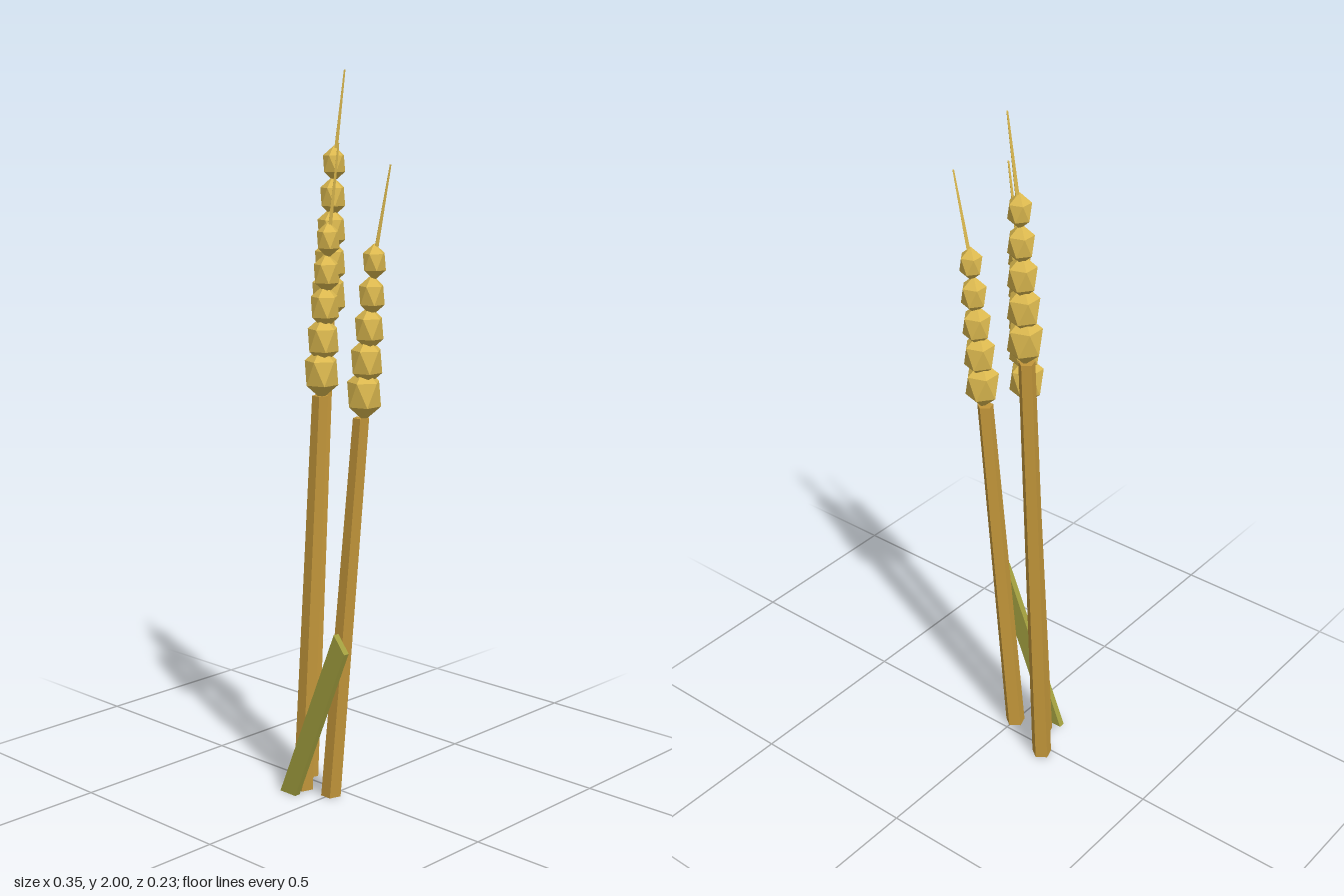
import * as THREE from 'three';

const material = (name, color) => {
  const m = new THREE.MeshStandardMaterial({ color, flatShading: true });
  m.name = name;
  return m;
};

// Tapered prism between two points, sheared so both ends stay level
function leaningPrism(from, to, rBottom, rTop, sides) {
  const [x0, y0, z0] = from, [x1, y1, z1] = to;
  const geo = new THREE.CylinderGeometry(rTop, rBottom, y1 - y0, sides, 1, false, Math.PI);
  geo.translate(0, (y1 - y0) / 2, 0);
  const p = geo.attributes.position;
  for (let i = 0; i < p.count; i++) {
    const t = p.getY(i) / (y1 - y0);
    p.setXYZ(i, p.getX(i) + x0 + (x1 - x0) * t, p.getY(i) + y0, p.getZ(i) + z0 + (z1 - z0) * t);
  }
  geo.computeVertexNormals();
  return geo;
}

export function createModel() {
  const straw = material('straw', 0xc2963a);
  const grain = material('grain gold', 0xdcb94f);
  const green = material('olive leaf', 0xa3a03f);

  const model = new THREE.Group();
  model.name = 'wheatStalks';
  const add = (parent, name, geo, mat) => {
    const mesh = new THREE.Mesh(geo, mat);
    mesh.name = name;
    parent.add(mesh);
    return mesh;
  };

  // Icosahedron with one corner straight up
  const kernelGeo = new THREE.IcosahedronGeometry(1, 0);
  kernelGeo.rotateZ(-Math.atan(2 / (1 + Math.sqrt(5))));

  // Each stalk: stem foot and top, lowest and highest kernel centres, awn tip
  const stalks = [
    { foot: [-0.15, 0, -0.023], top: [-0.119, 1.328, -0.068],
      low: [-0.116, 1.395, -0.072], high: [-0.106, 1.751, -0.083], tip: [-0.074, 2, -0.091] },
    { foot: [-0.091, 0, 0.059], top: [-0.037, 1.137, 0.042],
      low: [-0.033, 1.2, 0.042], high: [-0.015, 1.557, 0.034], tip: [0.021, 1.81, 0.032] },
    { foot: [0, 0, 0.04], top: [0.088, 1.088, 0.014],
      low: [0.096, 1.153, 0.012], high: [0.125, 1.506, 0.005], tip: [0.173, 1.758, -0.003] },
  ];

  for (const { foot, top, low, high, tip } of stalks) {
    const stalk = new THREE.Group();
    stalk.name = 'stalk';
    model.add(stalk);
    add(stalk, 'stem', leaningPrism(foot, top, 0.029, 0.023, 5), straw);

    // Ear of five kernels shrinking upwards
    const a = new THREE.Vector3(...low), b = new THREE.Vector3(...high);
    for (let i = 0; i < 5; i++) {
      const t = i / 4;
      const r = THREE.MathUtils.lerp(0.051, 0.034, t);
      const kernel = add(stalk, 'kernel', kernelGeo, grain);
      kernel.position.lerpVectors(a, b, t);
      kernel.scale.set(r, r * 1.43, r);
    }

    // Bristle on top of the ear
    const base = [high[0] + 0.004, high[1] + 0.035, high[2] - 0.003];
    add(stalk, 'awn', leaningPrism(base, tip, 0.007, 0.003, 4), grain);
  }

  // Slanting leaf blade in front
  const outline = [[-0.125, 0], [-0.066, 0], [0.124, 0.457], [0.085, 0.505]];
  const blade = new THREE.Shape(outline.map(([x, y]) => new THREE.Vector2(x, y)));
  const leafGeo = new THREE.ExtrudeGeometry(blade, { depth: 0.018, bevelEnabled: false });
  leafGeo.translate(0, 0, 0.1);
  add(model, 'leaf', leafGeo, green);

  return model;
}
